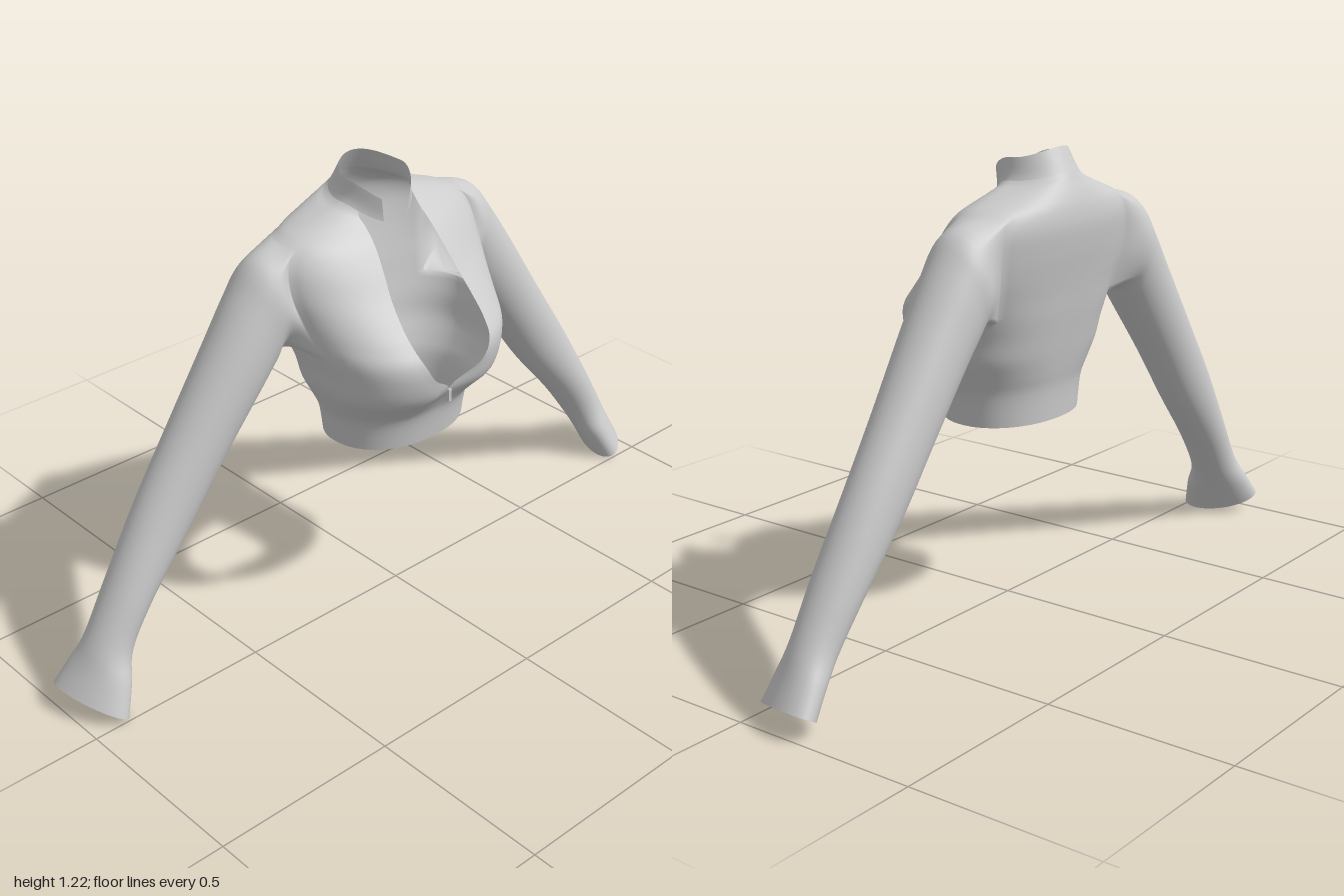
import * as THREE from 'three';
import { mergeVertices } from 'three/addons/utils/BufferGeometryUtils.js';

// Torso rings, bottom to collar top:
// yFront, ySide, yBack, halfWidth, zFront, zSide, zBack, squareness, centreDip, openingHalfWidth
const RINGS = [
  [0.52, 0.52, 0.52, 0.2, 0.14, -0.02, -0.16, 2.2, 0, 0],
  [0.6, 0.6, 0.6, 0.213, 0.153, -0.02, -0.165, 2.2, 0, 0],
  [0.645, 0.65, 0.65, 0.235, 0.185, -0.02, -0.175, 2.4, 0.012, 0],
  [0.69, 0.7, 0.7, 0.257, 0.225, -0.03, -0.185, 2.6, 0.027, 0],
  [0.75, 0.755, 0.755, 0.268, 0.243, -0.04, -0.195, 2.6, 0.04, 0.078],
  [0.8, 0.81, 0.81, 0.285, 0.241, -0.06, -0.205, 2.5, 0.04, 0.11],
  [0.84, 0.86, 0.86, 0.3, 0.213, -0.08, -0.213, 2.3, 0.03, 0.122],
  [0.88, 0.91, 0.91, 0.312, 0.175, -0.095, -0.222, 2.2, 0.015, 0.123],
  [0.94, 0.97, 0.97, 0.322, 0.122, -0.1, -0.233, 2.1, 0, 0.116],
  [1.0, 1.03, 1.03, 0.315, 0.077, -0.105, -0.24, 2.1, 0, 0.105],
  [1.04, 1.075, 1.075, 0.28, 0.046, -0.105, -0.236, 2.1, 0, 0.098],
  [1.065, 1.1, 1.11, 0.22, 0.025, -0.1, -0.225, 2, 0, 0.094],
  [1.078, 1.12, 1.14, 0.155, 0.01, -0.095, -0.21, 2, 0, 0.092],
  [1.085, 1.14, 1.16, 0.107, 0.005, -0.09, -0.2, 2, 0, 0.09],
  [1.14, 1.195, 1.22, 0.09, 0.015, -0.08, -0.166, 2, 0, 0.048],
];

// Sleeve sections, shoulder to cuff: outer x, y, inner x, y, zFront, zBack, skew
const SLEEVE = [
  [0.36, 1.05, 0.31, 0.8, -0.02, -0.212, 0],
  [0.42, 0.98, 0.335, 0.77, -0.025, -0.21, 0],
  [0.5, 0.865, 0.378, 0.715, -0.03, -0.205, 0],
  [0.63, 0.67, 0.49, 0.57, -0.043, -0.2, 0],
  [0.74, 0.505, 0.605, 0.415, -0.05, -0.195, 0],
  [0.845, 0.33, 0.735, 0.263, -0.05, -0.185, 0],
  [0.92, 0.2, 0.815, 0.15, -0.048, -0.176, 0.1],
  [0.96, 0.13, 0.852, 0.08, -0.02, -0.188, 0.4],
  [1.0, 0.07, 0.888, 0.004, 0.005, -0.2, 0.6],
];

const HALF = 32, COLS = HALF * 2, SUB = 4;
const ARM_COLS = [10, 22], ARM_ROWS = [5 * SUB, 10 * SUB];
const ARM_ANGLES = [1.29, 2.23];

// Catmull-Rom blend through a list of equal-length arrays
function blend(list, v) {
  const i = Math.min(Math.floor(v), list.length - 2), t = v - i;
  const at = (k) => list[Math.max(0, Math.min(list.length - 1, k))];
  const [a, b, c, d] = [at(i - 1), at(i), at(i + 1), at(i + 2)];
  return b.map((_, k) => {
    const cubic = 3 * (b[k] - c[k]) + d[k] - a[k];
    const square = 2 * a[k] - 5 * b[k] + 4 * c[k] - d[k];
    return b[k] + 0.5 * t * (c[k] - a[k] + t * (square + t * cubic));
  });
}

// Point on the torso: column 0 is the wearer's left opening edge, running round the back
function torsoPoint(col, v, opening) {
  const [yF, yS, yB, hw, zF, zS, zB, e, dip, w] = blend(RINGS, v);
  const gap = opening ?? (v <= 3 ? 0 : w);
  const start = Math.asin(Math.pow(gap / hw, e / 2));
  const side = col <= HALF ? 1 : -1;
  const c = side > 0 ? col : COLS - col;
  const [c0, c1] = ARM_COLS, [a0, a1] = ARM_ANGLES;
  const t = c < c0 ? start + (a0 - start) * c / c0
    : c < c1 ? a0 + (a1 - a0) * (c - c0) / (c1 - c0)
      : a1 + (Math.PI - a1) * (c - c1) / (HALF - c1);
  const cos = Math.cos(t), p = 2 / e;
  const x = c === HALF ? 0 : hw * Math.pow(Math.sin(t), p);
  const y = yS + ((cos > 0 ? yF : yB) - yS) * cos * cos;
  let z = zS + ((cos > 0 ? zF : zB) - zS) * Math.pow(Math.abs(cos), cos > 0 ? p : 1);
  if (cos > 0) z -= dip * Math.exp(-((x / 0.06) ** 2));
  return [side * x, y, z];
}

function quad(index, a, b, c, d) {
  index.push(a, b, c, a, c, d);
}

function makeGeometry(points, index) {
  const g = new THREE.BufferGeometry();
  g.setAttribute('position', new THREE.Float32BufferAttribute(points.flat(), 3));
  g.setIndex(index);
  const welded = mergeVertices(g, 1e-5);
  welded.computeVertexNormals();
  return welded;
}

// Sleeve grown from the armhole border so that the shoulder is seamless
function addSleeve(points, index, side) {
  const [r0, r1] = ARM_ROWS;
  const [c0, c1] = side > 0 ? ARM_COLS : [COLS - ARM_COLS[1], COLS - ARM_COLS[0]];
  const loop = [];
  for (let c = c0; c < c1; c++) loop.push([c, r0]);
  for (let r = r0; r < r1; r++) loop.push([c1, r]);
  for (let c = c1; c > c0; c--) loop.push([c, r1]);
  for (let r = r1; r > r0; r--) loop.push([c0, r]);

  const n = loop.length, steps = SLEEVE.length * 5;
  const first = points.length;
  const strands = loop.map(([c, r]) => {
    const across = -side * (2 * (c - c0) / (c1 - c0) - 1);
    const angle = Math.atan2(2 * (r - r0) / (r1 - r0) - 1, across);
    const s = Math.sin(angle), f = Math.cos(angle);
    const path = SLEEVE.map(([xo, yo, xi, yi, zf, zb, skew]) => {
      const k = 0.5 * (s - skew * f) / Math.hypot(1, skew);
      return [side * ((xo + xi) / 2 + (xo - xi) * k), (yo + yi) / 2 + (yo - yi) * k,
        (zf + zb) / 2 + (zf - zb) / 2 * f];
    });
    return [points[r * (COLS + 1) + c], ...path];
  });
  for (let j = 1; j <= steps; j++) for (const s of strands) points.push(blend(s, j / 5));
  const id = (j, k) => j === 0
    ? loop[k % n][1] * (COLS + 1) + loop[k % n][0]
    : first + (j - 1) * n + (k % n);
  for (let j = 0; j < steps; j++) for (let k = 0; k < n; k++)
    quad(index, id(j, k), id(j, k + 1), id(j + 1, k + 1), id(j + 1, k));
}

export function createModel() {
  const group = new THREE.Group();
  const material = new THREE.MeshStandardMaterial({ color: 0xcccccc, side: THREE.DoubleSide });
  const add = (name, geometry) => {
    const mesh = new THREE.Mesh(geometry, material);
    mesh.name = name;
    group.add(mesh);
    return mesh;
  };

  // Torso grid with the two armholes left out
  const points = [], index = [];
  const rows = 13 * SUB;
  for (let r = 0; r <= rows; r++)
    for (let c = 0; c <= COLS; c++) points.push(torsoPoint(c, r / SUB));
  for (let r = 0; r < rows; r++) for (let c = 0; c < COLS; c++) {
    const m = c < HALF ? c : COLS - 1 - c;
    if (r >= ARM_ROWS[0] && r < ARM_ROWS[1] && m >= ARM_COLS[0] && m < ARM_COLS[1]) continue;
    const a = r * (COLS + 1) + c, b = a + COLS + 1;
    quad(index, a, a + 1, b + 1, b);
  }
  const ends = [0, index.length];
  for (const side of [1, -1]) {
    addSleeve(points, index, side);
    ends.push(index.length);
  }

  // Shared normals first, then one mesh per part
  const whole = makeGeometry(points, index);
  const order = Array.from(whole.index.array);
  ['torso', 'leftSleeve', 'rightSleeve'].forEach((name, i) => {
    const part = whole.clone();
    part.setIndex(order.slice(ends[i], ends[i + 1]));
    add(name, part.toNonIndexed());
  });

  // Standing collar, open at the front
  const collarPoints = [], collarIndex = [], collarRows = 6;
  for (let r = 0; r <= collarRows; r++) for (let c = 0; c <= COLS; c++)
    collarPoints.push(torsoPoint(c, 13 + r / collarRows, 0.038 + 0.01 * r / collarRows));
  for (let r = 0; r < collarRows; r++) for (let c = 0; c < COLS; c++) {
    const a = r * (COLS + 1) + c, b = a + COLS + 1;
    quad(collarIndex, a, a + 1, b + 1, b);
  }
  add('collar', makeGeometry(collarPoints, collarIndex));

  // Small zip pull at the foot of the opening
  const pull = add('zipPull', new THREE.BoxGeometry(0.01, 0.035, 0.006));
  pull.position.set(0, 0.668, 0.199);

  return group;
}
